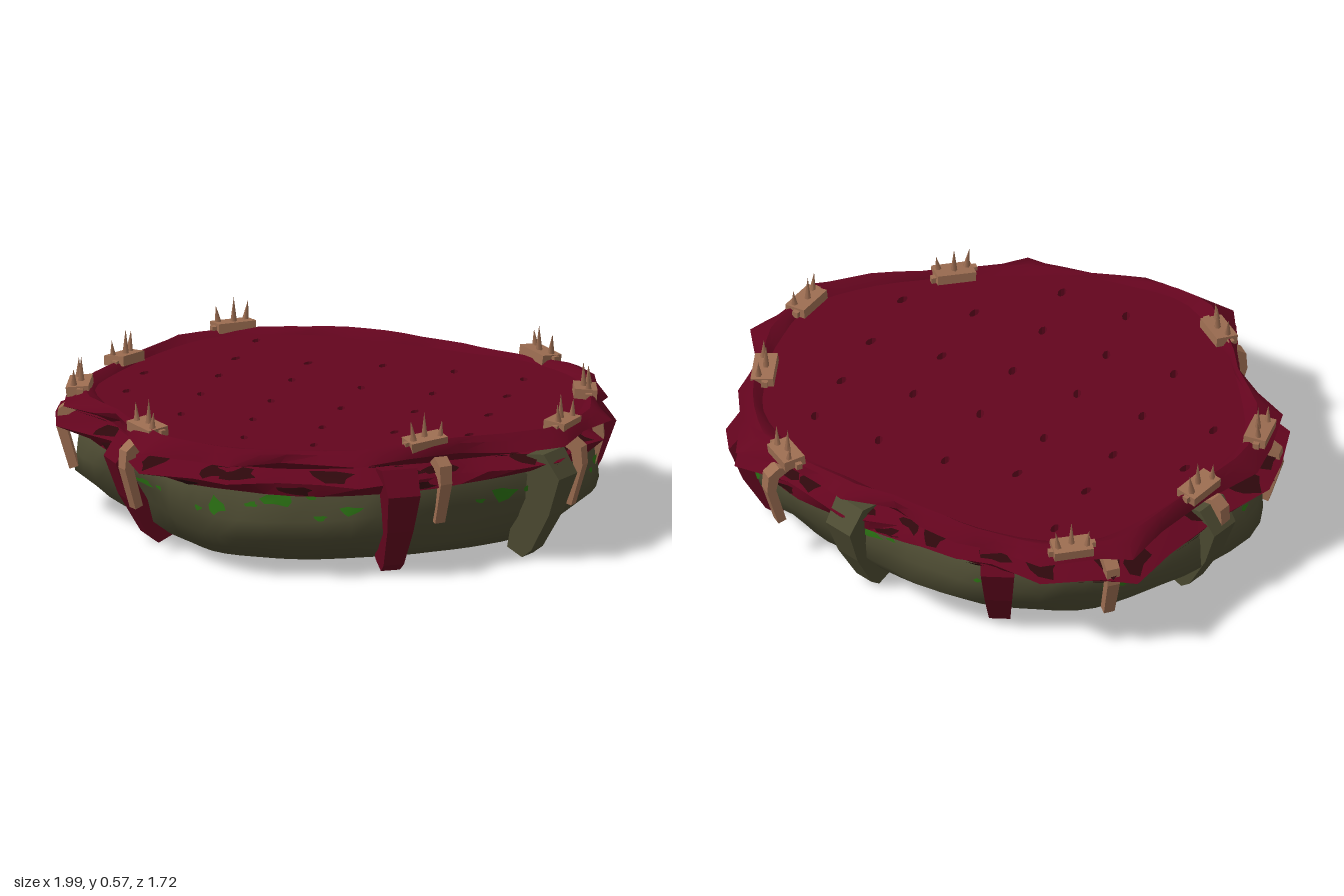
import * as THREE from 'three';
import { toCreasedNormals } from 'three/addons/utils/BufferGeometryUtils.js';

const mat = (name, color, side = THREE.FrontSide) => {
  const m = new THREE.MeshStandardMaterial({ color, side });
  m.name = name;
  return m;
};

// Ragged plan outline (x, z), running from the back edge round through +x
const OUTLINE = [
  [-0.5, -0.86], [-0.3, -0.83], [-0.17, -0.85], [-0.02, -0.83], [0.1, -0.78], [0.31, -0.82], [0.45, -0.76], [0.57, -0.71],
  [0.79, -0.7], [0.85, -0.5], [0.91, -0.36], [0.9, -0.2], [1, -0.03], [0.94, 0.12], [0.93, 0.32], [0.8, 0.43],
  [0.6, 0.5], [0.45, 0.64], [0.3, 0.8], [0, 0.78], [-0.17, 0.86], [-0.3, 0.81], [-0.5, 0.79], [-0.58, 0.64],
  [-0.68, 0.43], [-0.93, 0.3], [-0.98, 0.12], [-1, -0.03], [-0.9, -0.25], [-0.83, -0.5], [-0.8, -0.7], [-0.68, -0.74],
];
const N = OUTLINE.length * 2;
const wrap = (i) => ((i % N) + N) % N;
const ragged = (i) => {
  const a = OUTLINE[wrap(i) >> 1], b = OUTLINE[(wrap(i + 1) >> 1) % OUTLINE.length];
  return [(a[0] + b[0]) / 2, (a[1] + b[1]) / 2];
};
const smooth = (i) => {
  let x = 0, z = 0;
  for (let k = -3; k <= 3; k++) {
    const p = ragged(i + k);
    x += p[0] / 7;
    z += p[1] / 7;
  }
  return [x, z];
};

// Rows: [scale, height, raggedness, bulge wobble, height wobble]
const BODY = [
  [0, 0.03, 0, 0, 0], [0.75, 0.03, 0, 0.01, 0], [0.84, 0.08, 0, 0.025, 0], [0.91, 0.15, 0.3, 0.06, 0.015],
  [0.93, 0.22, 0.2, 0.03, 0.015], [0.94, 0.31, 0, 0.01, 0], [0.88, 0.37, 0, 0, 0],
];
const COVER = [
  [0.955, 0.313, 0, 0.01, 0.012], [1, 0.352, 1, 0, 0.01], [0.875, 0.385, 0, 0.01, 0], [1, 0.42, 1, 0, 0.012],
  [0.98, 0.452, 0.5, 0, 0.006], [0.957, 0.468, 0.3, 0, 0.01], [0.94, 0.46, 0.2, 0, 0.005], [0.925, 0.445, 0, 0, 0],
];
function columnPoint(rows, r, i) {
  const [k, y, rag, bulge, lift] = rows[r], s = smooth(i), p = ragged(i);
  const a = (wrap(i) * Math.PI * 2) / N;
  // the lip swings in and out against the skirt below it
  let side = 1;
  if (rows === COVER && r >= 3) side = 0.97 + 0.02 * Math.sin(a * 3 + 0.79);
  else if (rows === COVER && r === 1 && p[0] > 0) side = 0.96;
  const f = (k + bulge * Math.sin(a * 4 - 0.79)) * side;
  return new THREE.Vector3(
    (s[0] + (p[0] - s[0]) * rag) * f,
    y + lift * (Math.sin(a * 5 + r) + Math.sin(a * 3)) * 0.6,
    (s[1] + (p[1] - s[1]) * rag) * f);
}
function loft(rows) {
  const pos = [], index = [];
  rows.forEach((_, r) => {
    for (let i = 0; i < N; i++) pos.push(...columnPoint(rows, r, i).toArray());
  });
  for (let r = 0; r < rows.length - 1; r++) {
    for (let i = 0; i < N; i++) {
      const a = r * N + i, b = a + N, c = r * N + ((i + 1) % N), d = c + N;
      if (rows[r][0] > 0) index.push(a, b, c);
      index.push(c, b, d);
    }
  }
  const g = new THREE.BufferGeometry();
  g.setAttribute('position', new THREE.Float32BufferAttribute(pos, 3));
  g.setIndex(index);
  g.computeVertexNormals();
  return g;
}
function surfacePoint(rows, v, u) {
  const r = Math.min(Math.floor(v), rows.length - 2), i = Math.floor(u);
  const low = columnPoint(rows, r, i).lerp(columnPoint(rows, r, i + 1), u - i);
  const high = columnPoint(rows, r + 1, i).lerp(columnPoint(rows, r + 1, i + 1), u - i);
  return low.lerp(high, v - r);
}

// Blotch laid on a lofted surface; du and dv are its half sizes
function blotch(rows, v, u, dv, du, out, up) {
  const pos = [], index = [], n = 9;
  for (let k = 0; k <= n; k++) {
    const a = (k * Math.PI * 2) / n, q = k === n ? 0 : 0.8 + 0.25 * Math.sin(k * 2.3 + u);
    const p = surfacePoint(rows, v + dv * q * Math.sin(a), u + du * q * Math.cos(a));
    pos.push(p.x * (1 + out), p.y + up, p.z * (1 + out));
    if (k < n) index.push(n, (k + 1) % n, k);
  }
  const g = new THREE.BufferGeometry();
  g.setAttribute('position', new THREE.Float32BufferAttribute(pos, 3));
  g.setIndex(index);
  g.computeVertexNormals();
  return g;
}

// Side profile (outward, up) extruded to a width that tapers towards the foot
function slab(profile, topWidth, footWidth) {
  const g = new THREE.ExtrudeGeometry(new THREE.Shape(profile.map((p) => new THREE.Vector2(...p))),
    { depth: 1, bevelEnabled: false });
  const p = g.attributes.position, ys = profile.map((q) => q[1]);
  const lo = Math.min(...ys), hi = Math.max(...ys);
  for (let i = 0; i < p.count; i++) {
    const w = footWidth + ((topWidth - footWidth) * (p.getY(i) - lo)) / (hi - lo);
    p.setZ(i, (p.getZ(i) - 0.5) * w);
  }
  g.computeVertexNormals();
  return g;
}

export function createModel() {
  const model = new THREE.Group();
  const red = mat('crimson hide', 0x63051e);
  const olive = mat('olive shell', 0x4d4b32);
  const tan = mat('tan bone', 0x9c6d51);
  const dark = mat('dark blotch', 0x2e080c, THREE.DoubleSide);
  const green = mat('green moss', 0x2c7414, THREE.DoubleSide);
  const add = (parent, name, geometry, material) => {
    const m = new THREE.Mesh(geometry, material);
    m.name = name;
    parent.add(m);
    return m;
  };
  const facing = (name, x, z) => {
    const g = new THREE.Group();
    g.name = name;
    g.position.set(x, 0, z);
    g.rotation.y = -Math.atan2(z, x);
    model.add(g);
    return g;
  };

  add(model, 'shellBody', loft(BODY), olive);
  add(model, 'hideCover', toCreasedNormals(loft(COVER), 0.6), red);

  // Flat top with rows of small pits: [z, first x, count]
  const top = new THREE.Shape();
  for (let i = 0; i < N; i++) {
    const p = columnPoint(COVER, COVER.length - 1, i);
    if (i) top.lineTo(p.x, p.z);
    else top.moveTo(p.x, p.z);
  }
  [[-0.65, -0.46, 4], [-0.43, -0.47, 5], [-0.17, -0.73, 6], [0.09, -0.73, 6], [0.35, -0.47, 5], [0.59, -0.18, 2]]
    .forEach(([z0, x0, count], row) => {
      for (let k = 0; k < count; k++) {
        const x = x0 + k * 0.26, z = z0 + 0.025 * Math.sin(k * 1.6 + row);
        top.holes.push(new THREE.Path().absellipse(x, z, 0.014, 0.025, 0, Math.PI * 2, false, 0.3 * Math.sin(k + row)));
        const floor = add(model, 'pitFloor', new THREE.CircleGeometry(0.03, 8), dark);
        floor.rotation.x = -Math.PI / 2;
        floor.position.set(x, 0.4, z);
      }
    });
  const cap = new THREE.ExtrudeGeometry(top, { depth: 0.045, bevelEnabled: false, curveSegments: 4 });
  cap.rotateX(Math.PI / 2).translate(0, 0.445, 0);
  add(model, 'pittedTop', cap, red);

  // Moss on the shell: broad patches with specks beside them
  [2, 9, 17, 23, 25.5, 30, 36, 38.5, 41, 46, 53, 60].forEach((u, k) => {
    const v = 4.5 + 0.3 * Math.sin(k * 2);
    add(model, 'mossPatch', blotch(BODY, v, u, 0.19 + 0.09 * (k % 3), 0.5 + 0.25 * (k % 2), 0.009, 0), green);
    add(model, 'mossSpeck', blotch(BODY, v - 0.2, u + 1, 0.12, 0.28, 0.009, 0), green);
    if (k % 2) add(model, 'mossSpeck', blotch(BODY, v + 0.1, u - 1.2, 0.13, 0.3, 0.009, 0), green);
  });

  // Dark blotches on the ragged hide
  for (let k = 0; k < 26; k++) {
    const u = k * 2.46 + 0.6 * Math.sin(k * 4);
    add(model, 'skirtBlotch', blotch(COVER, 1.48, u, 0.45, 0.85, 0.004, 0.005), dark);
    if (k % 2) add(model, 'hemBlotch', blotch(COVER, 0.5, u + 1, 0.42, 0.65, 0.006, -0.003), dark);
    else add(model, 'lipBlotch', blotch(COVER, 2.5, u + 1, 0.35, 0.6, 0.004, -0.005), dark);
  }

  // Slanted buttress legs
  const legShape = [[-0.1, 0.385], [-0.03, 0.395], [0.03, 0.31], [-0.02, 0.17], [-0.1, 0.03], [-0.14, 0], [-0.2, 0.03], [-0.16, 0.2]];
  [[0.42, 0.68, red], [0.89, 0.29, olive], [0.84, -0.48, red], [0.29, -0.78, olive],
    [-0.31, -0.8, red], [-0.9, -0.24, olive], [-0.66, 0.48, red]].forEach(([x, z, material]) =>
    add(facing('leg', x, z), 'buttress', slab(legShape, 0.13, 0.07), material));

  // Bone clamps: plate with spikes on the rim and a bent rib below it
  const ribShape = [[-0.06, 0.4], [-0.01, 0.415], [0.03, 0.385], [0.035, 0.32], [-0.01, 0.17], [-0.04, 0.18], [0, 0.32], [-0.01, 0.37]];
  [[-0.57, -0.75, -0.69, -0.69], [0.56, -0.67, 0.6, -0.69], [0.83, -0.26, 0.88, -0.2], [0.86, 0.16, 0.91, 0.16],
    [0.46, 0.52, 0.52, 0.52], [-0.52, 0.6, -0.58, 0.61], [-0.89, 0.13, -0.93, 0.15], [-0.83, -0.25, -0.89, -0.22]]
    .forEach(([x, z, rx, rz], k) => {
      add(facing('rib', rx, rz), 'bentRib', slab(ribShape, 0.05, 0.04), tan);
      const clamp = facing('clamp', x, z);
      const plate = add(clamp, 'plate', new THREE.BoxGeometry(0.08, 0.035, 0.14), tan);
      plate.position.y = 0.464;
      plate.rotation.set(0.08 * Math.sin(k * 2), 0, -0.1);
      [[0.015, -0.055, 0.065], [-0.005, 0, 0.095], [0.01, 0.055, 0.075]].forEach(([sx, sz, h]) => {
        const spike = add(clamp, 'spike', new THREE.ConeGeometry(0.013, h, 5), tan);
        spike.position.set(sx, 0.474 + h / 2, sz);
        spike.rotation.x = sz * 2.5;
      });
      // Stubby side pegs
      for (const s of [-1, 1]) {
        const peg = add(clamp, 'sidePeg', new THREE.BoxGeometry(0.022, 0.022, 0.025), tan);
        peg.position.set(0.01 * s, 0.462, 0.074 * s);
      }
    });
  return model;
}
